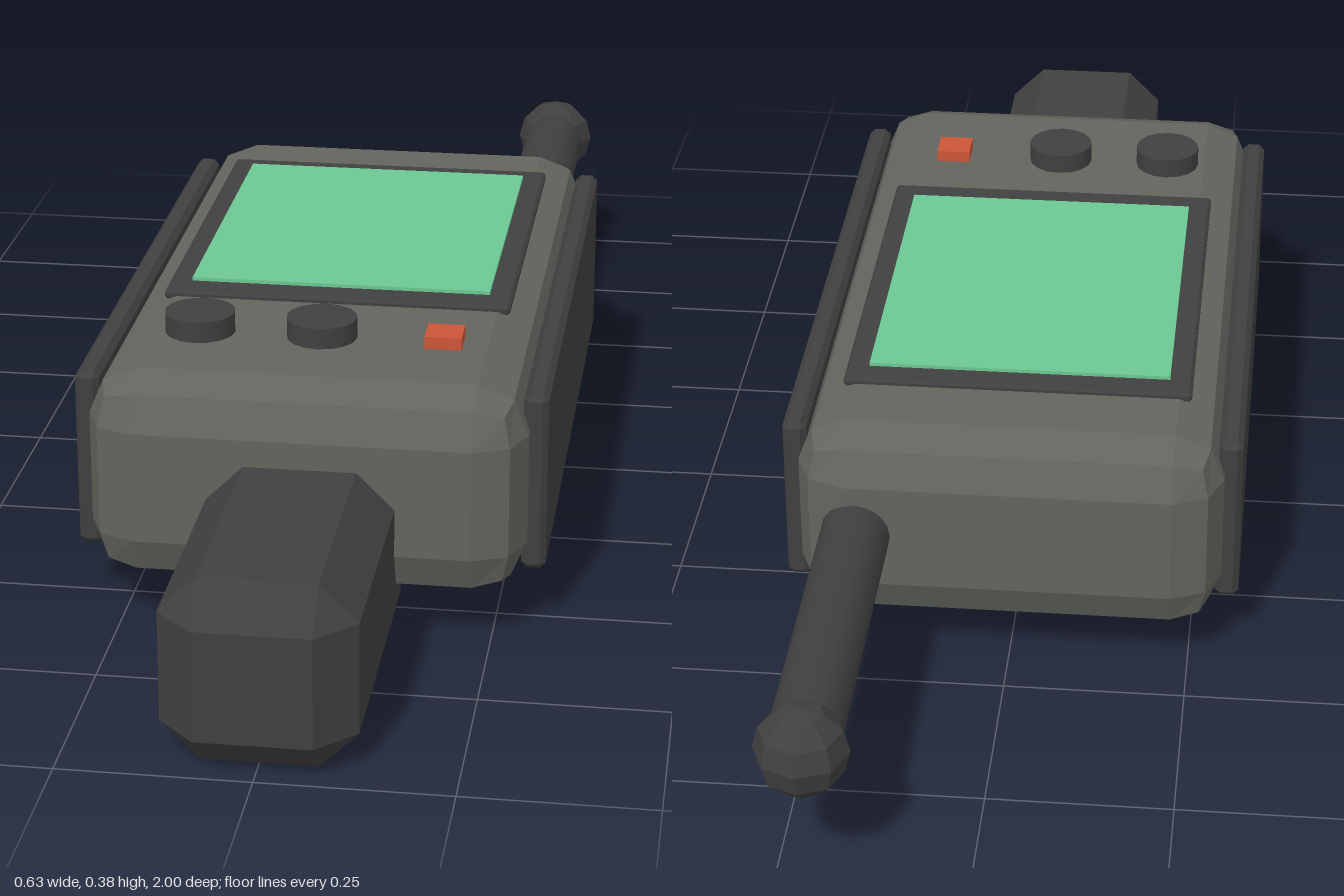
import * as THREE from 'three';
import { RoundedBoxGeometry } from 'three/addons/geometries/RoundedBoxGeometry.js';
import { ConvexGeometry } from 'three/addons/geometries/ConvexGeometry.js';

const flat = (name, color, flatShading = true) => {
  const m = new THREE.MeshStandardMaterial({ color, flatShading });
  m.name = name;
  return m;
};

// Box with every edge cut at 45 degrees
function chamferBox(w, h, d, c) {
  const points = [];
  for (const sx of [-1, 1]) for (const sy of [-1, 1]) for (const sz of [-1, 1]) {
    const x = w / 2, y = h / 2, z = d / 2;
    points.push(
      new THREE.Vector3(sx * x, sy * (y - c), sz * (z - c)),
      new THREE.Vector3(sx * (x - c), sy * y, sz * (z - c)),
      new THREE.Vector3(sx * (x - c), sy * (y - c), sz * z));
  }
  return new ConvexGeometry(points);
}

export function createModel() {
  const group = new THREE.Group();
  const casing = flat('olive grey casing', 0x62645d);
  const rubber = flat('dark rubber', 0x404040);
  const glass = flat('green glass', 0x6cc792);
  const red = flat('red plastic', 0xcc5638);
  const smoothRubber = rubber.clone();
  smoothRubber.flatShading = false;

  const add = (name, geometry, material, x, y, z) => {
    const mesh = new THREE.Mesh(geometry, material);
    mesh.name = name;
    mesh.position.set(x, y, z);
    group.add(mesh);
    return mesh;
  };

  // Main casing and the handle that plugs into its front
  add('casing', new RoundedBoxGeometry(0.586, 0.29, 1.08, 1, 0.068), casing, 0, 0.21, 0.08);
  add('handle', chamferBox(0.25, 0.25, 0.5, 0.05), rubber, 0, 0.125, 0.75);

  // Side grips
  for (const side of [-1, 1]) {
    add(side > 0 ? 'leftSideGrip' : 'rightSideGrip',
      chamferBox(0.033, 0.25, 0.915, 0.008), rubber, side * 0.3005, 0.21, 0.078);
  }

  // Display
  add('screenFrame', chamferBox(0.484, 0.014, 0.585, 0.004), rubber, 0, 0.356, -0.005);
  add('screen', new THREE.BoxGeometry(0.42, 0.009, 0.505), glass, 0, 0.3635, -0.008);

  // Controls
  for (const x of [-0.168, -0.001]) {
    add('knob', new THREE.CylinderGeometry(0.048, 0.048, 0.035, 16), smoothRubber, x, 0.3665, 0.41);
  }
  add('button', new THREE.BoxGeometry(0.05, 0.023, 0.05), red, 0.166, 0.3605, 0.411);

  // Antenna
  const rod = add('antennaRod', new THREE.CylinderGeometry(0.048, 0.048, 0.54, 16),
    smoothRubber, 0.207, 0.212, -0.67);
  rod.rotation.x = Math.PI / 2;
  add('antennaTip', new THREE.SphereGeometry(0.062, 8, 6), rubber, 0.207, 0.212, -0.938);

  return group;
}
